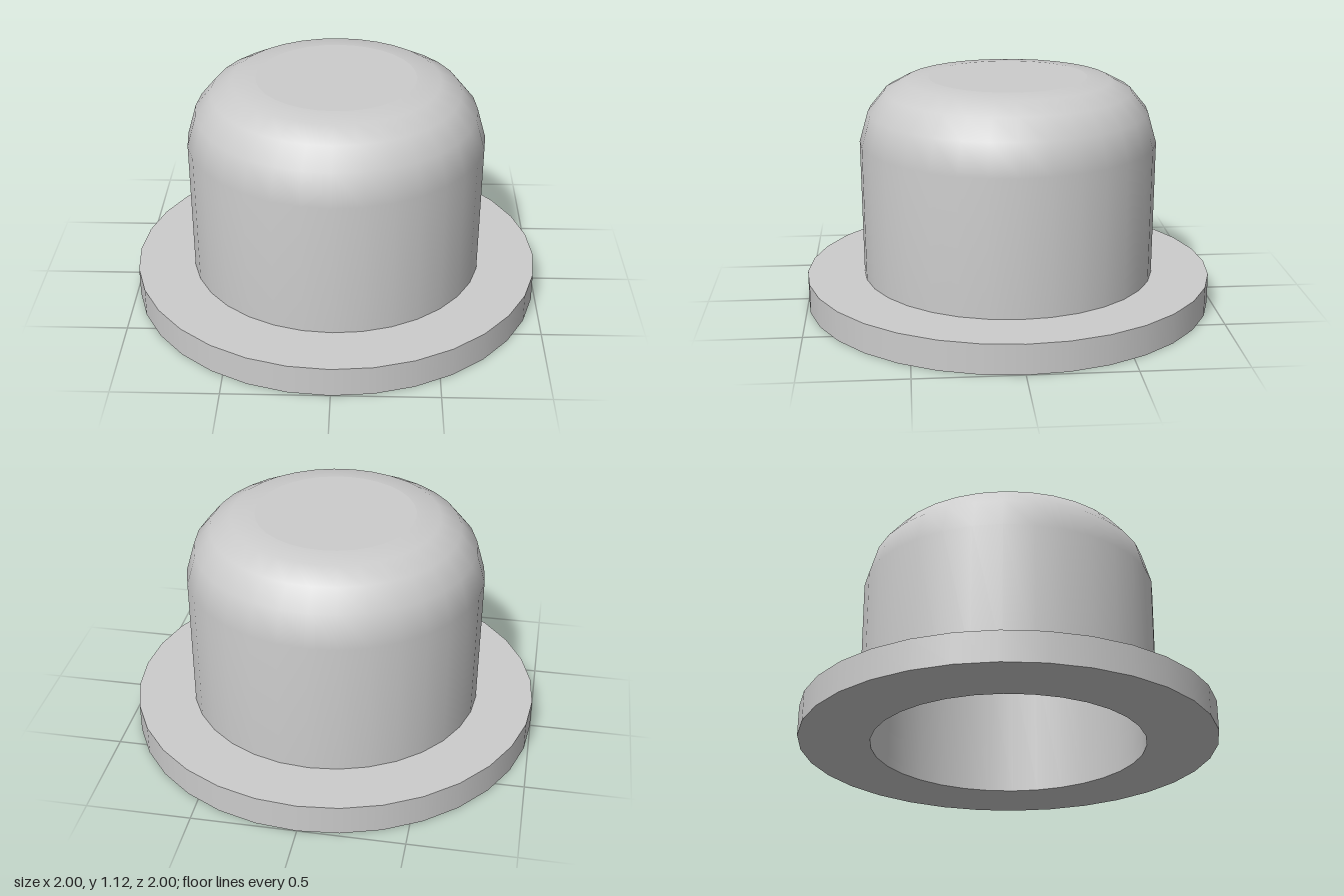
import * as THREE from 'three';

const SEGMENTS = 32;

export function createModel() {
  const group = new THREE.Group();
  const material = new THREE.MeshStandardMaterial({ color: 0xcccccc });

  // Each revolved strip is smooth within itself and sharp against its neighbours.
  const revolve = (name, profile) => {
    const points = profile.map(([r, y]) => new THREE.Vector2(r, y));
    const mesh = new THREE.Mesh(new THREE.LatheGeometry(points, SEGMENTS), material);
    mesh.name = name;
    group.add(mesh);
  };

  const brimTop = 0.145, brimRadius = 1;
  const crownFoot = 0.718, crownTop = 1.122, topRadius = 0.385;
  const boreRadius = 0.66, boreDepth = 0.715;

  // Flat ring brim
  revolve('brimUnderside', [[boreRadius, 0], [brimRadius, 0]]);
  revolve('brimEdge', [[brimRadius, 0], [brimRadius, brimTop]]);
  revolve('brimTop', [[brimRadius, brimTop], [crownFoot, brimTop]]);

  // Slightly flared crown with a rounded shoulder and flat top
  revolve('crown', [
    [crownFoot, brimTop], [0.723, 0.81], [0.68, 0.96],
    [0.6, 1.057], [0.5, 1.11], [topRadius, crownTop],
  ]);
  revolve('crownTop', [[topRadius, crownTop], [0, crownTop]]);

  // Hollow inside, open at the bottom
  revolve('innerWall', [[boreRadius, boreDepth], [boreRadius, 0]]);
  revolve('innerCeiling', [[0, boreDepth], [boreRadius, boreDepth]]);

  return group;
}
